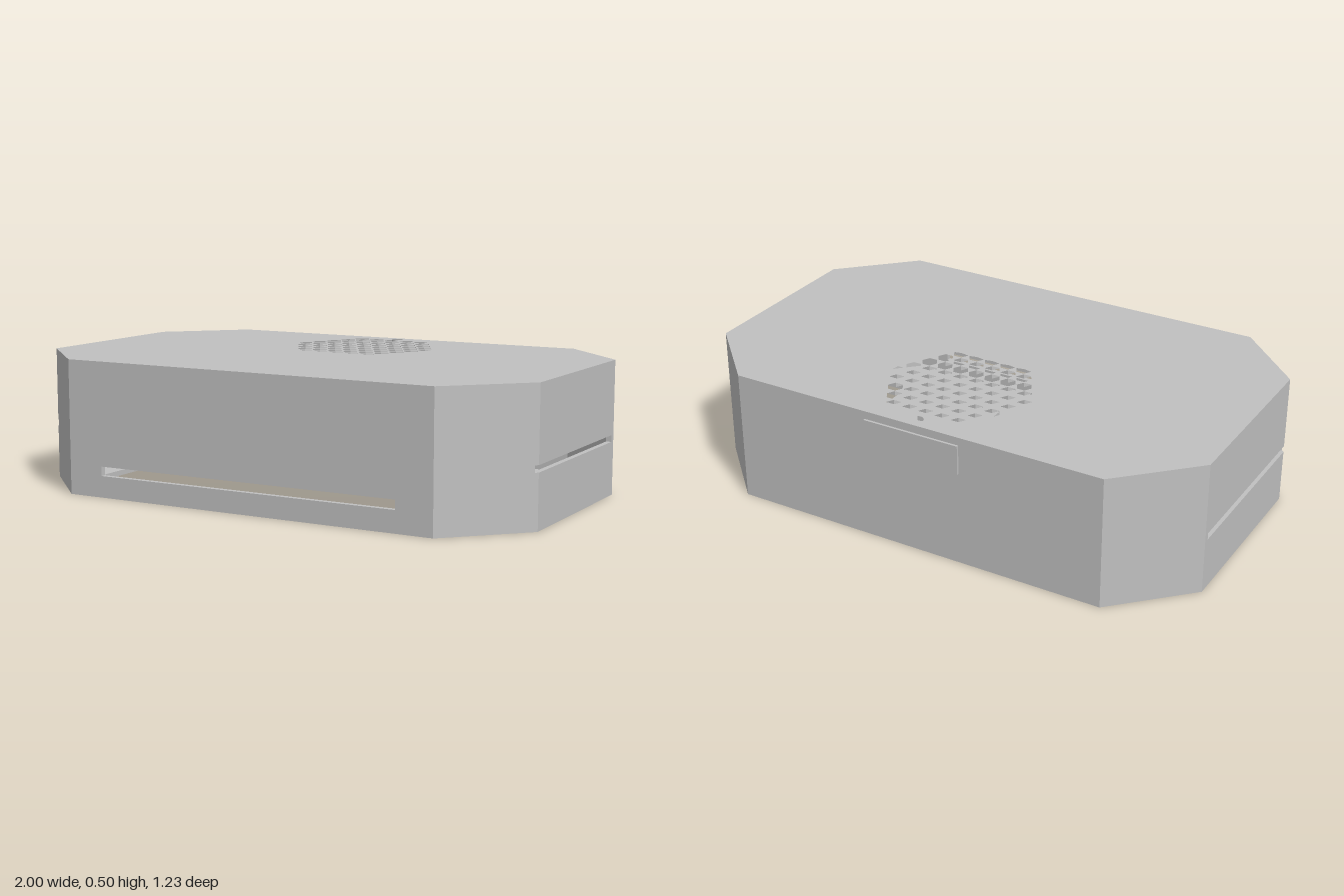
import * as THREE from 'three';

const H = 0.5, T = 0.02; // casing height and wall thickness
// Plan outline as [x, z], starting at the front left corner
const PLAN = [
  [0.74, 0.617], [-0.74, 0.617], [-1, 0.36], [-1, -0.35],
  [-0.74, -0.608], [0.74, -0.608], [1, -0.35], [1, 0.36],
];

const toShape = (pts) => new THREE.Shape(pts.map(([x, y]) => new THREE.Vector2(x, y)));
const toPath = (pts) => new THREE.Path(pts.map(([x, y]) => new THREE.Vector2(x, y)));
const rect = (x0, x1, y0, y1) => [[x0, y0], [x1, y0], [x1, y1], [x0, y1]];

// Upright wall from a to b, with an optional slot that may run off either end
function wallGeometry(a, b, slot) {
  const u = new THREE.Vector3(b[0] - a[0], 0, b[1] - a[1]);
  const L = u.length();
  u.normalize();
  const pts = [[0, 0], [L, 0]];
  let hole = null;
  if (slot) {
    const [u0, u1, v0, v1] = slot;
    if (u1 >= L) pts.push([L, v0], [u0, v0], [u0, v1], [L, v1]);
    pts.push([L, H], [0, H]);
    if (u0 <= 0) pts.push([0, v1], [u1, v1], [u1, v0], [0, v0]);
    if (u0 > 0 && u1 < L) hole = toPath(rect(u0, u1, v0, v1));
  } else pts.push([L, H], [0, H]);
  const shape = toShape(pts);
  if (hole) shape.holes.push(hole);
  const geo = new THREE.ExtrudeGeometry(shape, { depth: T, bevelEnabled: false });
  const up = new THREE.Vector3(0, 1, 0);
  const m = new THREE.Matrix4().makeBasis(u, up, u.clone().cross(up));
  m.setPosition(a[0], 0, a[1]);
  return geo.applyMatrix4(m);
}

// Horizontal octagonal plate with holes, its underside at height y
function plateGeometry(y, holes) {
  const shape = toShape(PLAN.map(([x, z]) => [x * 0.998, -z * 0.998]));
  shape.holes.push(...holes);
  const geo = new THREE.ExtrudeGeometry(shape, { depth: T, bevelEnabled: false, curveSegments: 16 });
  return geo.rotateX(-Math.PI / 2).translate(0, y, 0);
}

// Honeycomb of hexagonal holes trimmed to a round outline with a straight front
function grilleHoles() {
  const pitch = 0.0663, r = 0.0305, R = 0.284, cz = -0.283, frontZ = -0.047;
  const inside = (x, z, gap = 0) => Math.hypot(x, z - cz) <= R - gap && z <= frontZ;
  const holes = [];
  for (let row = -4; row <= 4; row++) {
    const z = cz + row * pitch * Math.sqrt(3) / 2;
    for (let col = -5; col <= 5; col++) {
      const x = (col + (row % 2 ? 0.5 : 0)) * pitch;
      if (!inside(x, z, 0.008)) continue;
      const pts = [];
      for (let k = 0; k < 6; k++) {
        const a = k * Math.PI / 3;
        let s = r;
        while (s > 0.002 && !inside(x + s * Math.cos(a), z + s * Math.sin(a))) s -= 0.001;
        pts.push([x + s * Math.cos(a), -(z + s * Math.sin(a))]);
      }
      holes.push(toPath(pts));
    }
  }
  return holes;
}

export function createModel() {
  const group = new THREE.Group();
  const grey = new THREE.MeshStandardMaterial({ color: 0xc0c0c0 });
  grey.name = 'casing grey';
  const add = (name, geo) => {
    const mesh = new THREE.Mesh(geo, grey);
    mesh.name = name;
    group.add(mesh);
    return mesh;
  };

  // Walls: one long slot at the front, one on each side running just past the front corner
  const chamfer = Math.hypot(0.26, 0.257), side = 0.71;
  const slots = {
    0: [0.14, 1.34, 0.08, 0.115],
    1: [chamfer - 0.014, chamfer + 1, 0.2, 0.225],
    2: [0, side - 0.02, 0.2, 0.225],
    6: [0.02, side + 1, 0.2, 0.225],
    7: [0, 0.014, 0.2, 0.225],
  };
  const names = ['frontWall', 'frontRightCorner', 'rightWall', 'backRightCorner',
    'backWall', 'backLeftCorner', 'leftWall', 'frontLeftCorner'];
  PLAN.forEach((a, i) => add(names[i], wallGeometry(a, PLAN[(i + 1) % 8], slots[i])));

  // Lid with the honeycomb and a small round hole behind it
  const roundHole = new THREE.Path();
  roundHole.absarc(0, 0.566, 0.023, 0, Math.PI * 2, true);
  add('lid', plateGeometry(H - T, [...grilleHoles(), roundHole]));

  // Floor with a large rectangular opening
  add('floor', plateGeometry(0, [toPath(rect(-0.8, 0.8, -0.4, 0.06))]));

  // Block set into the back wall, standing slightly proud of it
  add('backBlock', new THREE.BoxGeometry(0.38, 0.11, 0.287)).position.set(0, 0.415, -0.4735);

  return group;
}
